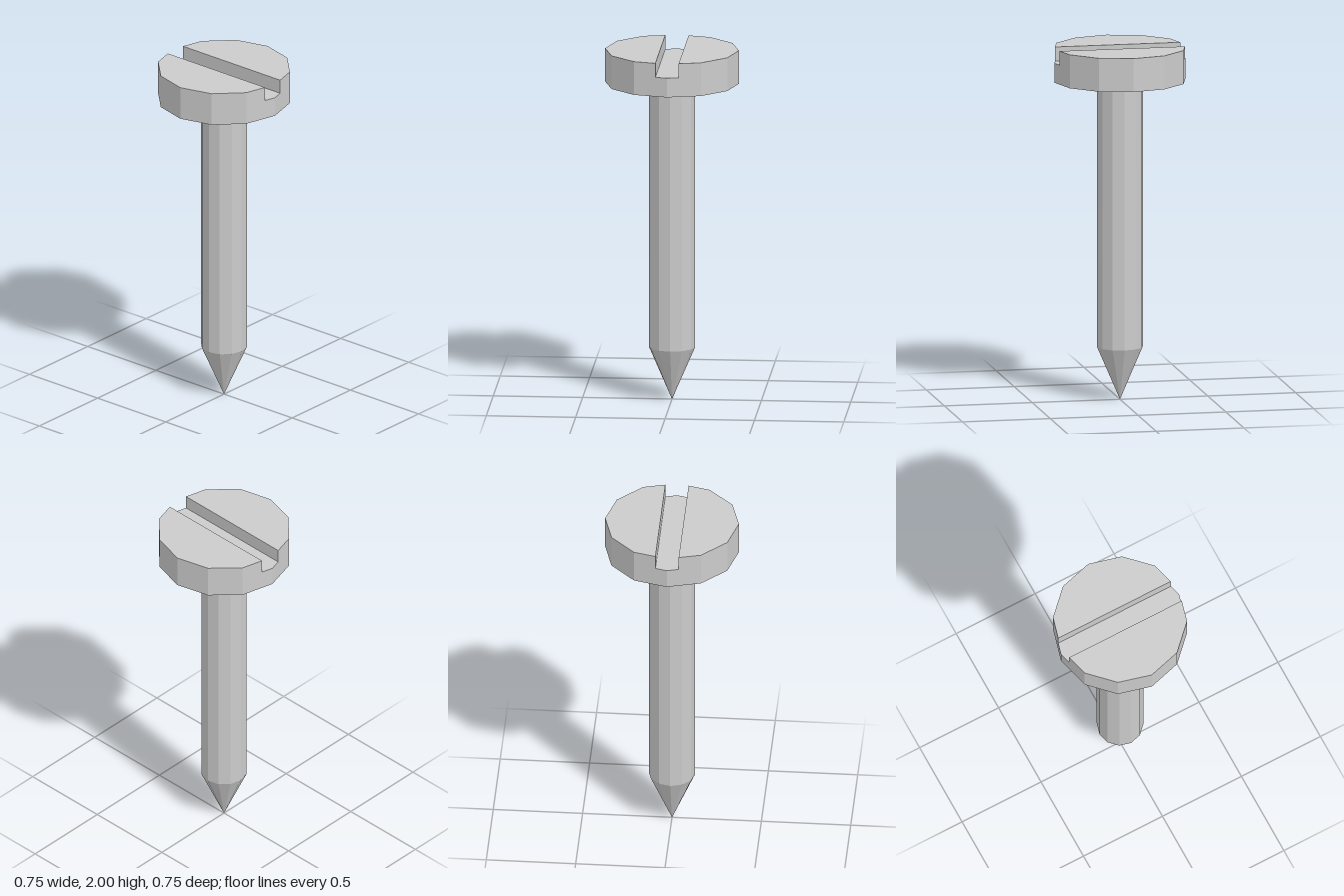
import * as THREE from 'three';

const SIDES = 12;
const HEAD_R = 0.374, HEAD_BOTTOM = 1.81, SLOT_FLOOR = 1.92, HEAD_TOP = 2;
const SLOT_HALF = 0.065;
const SHAFT_R = 0.13, TIP_TOP = 0.3;

// Slotted twelve-sided head, built as one closed skin
function headGeometry() {
  const verts = [];
  const face = (pts) => {
    for (let i = 1; i < pts.length - 1; i++) verts.push(...pts[0], ...pts[i], ...pts[i + 1]);
  };
  const at = (pts, y) => pts.map(([x, z]) => [x, y, z]);
  const wall = (a, b, low, high) =>
    face([[a[0], low, a[1]], [a[0], high, a[1]], [b[0], high, b[1]], [b[0], low, b[1]]]);

  // Half of the outline, from one slot mouth round to the other
  const corner = (i) => {
    const t = (i / SIDES) * Math.PI * 2;
    return [HEAD_R * Math.cos(t), HEAD_R * Math.sin(t)];
  };
  const [cx, cz] = corner(1);
  const mouthX = HEAD_R + ((cx - HEAD_R) * SLOT_HALF) / cz;
  const half = [[mouthX, SLOT_HALF]];
  for (let i = 1; i < SIDES / 2; i++) half.push(corner(i));
  half.push([-mouthX, SLOT_HALF]);
  const mirrored = half.map(([x, z]) => [-x, -z]);

  for (const [h, end] of [[half, -HEAD_R], [mirrored, HEAD_R]]) {
    const n = h.length;
    // Rim walls, slot wall and top
    for (let i = 0; i < n - 1; i++) wall(h[i], h[i + 1], HEAD_BOTTOM, HEAD_TOP);
    wall(h[n - 1], h[0], SLOT_FLOOR, HEAD_TOP);
    face(at(h, HEAD_TOP).reverse());
    // Low rim under the slot mouth
    const next = h === half ? mirrored[0] : half[0];
    wall(h[n - 1], [end, 0], HEAD_BOTTOM, SLOT_FLOOR);
    wall([end, 0], next, HEAD_BOTTOM, SLOT_FLOOR);
  }

  // Slot floor and underside
  const floor = [half[0], half.at(-1), [-HEAD_R, 0], mirrored[0], mirrored.at(-1), [HEAD_R, 0]];
  face(at(floor, SLOT_FLOOR).reverse());
  face(at([...half, [-HEAD_R, 0], ...mirrored, [HEAD_R, 0]], HEAD_BOTTOM));

  const geometry = new THREE.BufferGeometry();
  geometry.setAttribute('position', new THREE.Float32BufferAttribute(verts, 3));
  geometry.computeVertexNormals();
  return geometry;
}

export function createModel() {
  const material = new THREE.MeshStandardMaterial({ color: 0xcccccc, flatShading: true });
  const group = new THREE.Group();
  group.name = 'screw';

  const head = new THREE.Mesh(headGeometry(), material);
  head.name = 'slottedHead';

  // Straight shaft running down into a pointed tip
  const profile = [[0, 0], [SHAFT_R, TIP_TOP], [SHAFT_R, HEAD_BOTTOM]];
  const shaft = new THREE.Mesh(
    new THREE.LatheGeometry(profile.map(([r, y]) => new THREE.Vector2(r, y)), SIDES),
    material
  );
  shaft.name = 'pointedShaft';

  group.add(head, shaft);
  return group;
}
